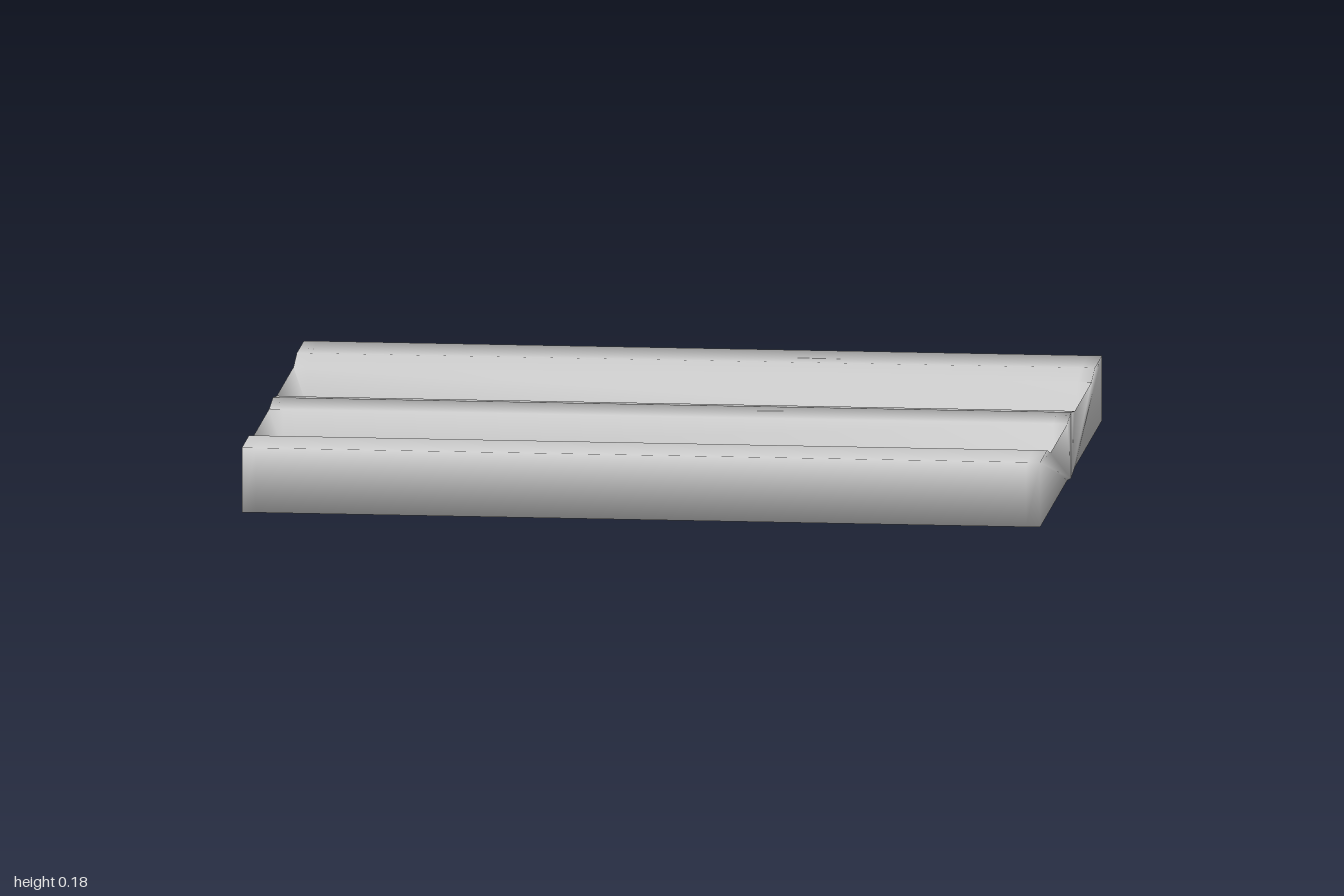
import * as THREE from 'three';

const RIM = 0.155;
const FLOOR = 0.055;

// Cross-section of one half as (z, y), counter-clockwise from the bottom of the centre seam.
// The trough floor rises to the rim at both ends.
const profile = (floorY) => [
  [0, 0], [0.09, 0.012], [0.745, 0.012], [0.745, 0.176], [0.575, 0.176], [0.495, RIM],
  [0.49, floorY], [0.095, floorY], [0.09, RIM], [0, 0.168],
].map(([z, y]) => new THREE.Vector2(z, y));

// Profile points that outline the end caps, leaving out the two of the trough floor
const CAP = [0, 1, 2, 3, 4, 5, 8, 9];

// Stations along the length; the close pairs form the sloping trough ends
const STATIONS = [[-1, RIM], [-0.965, FLOOR], [0.965, FLOOR], [1, RIM]];

// Sweeps the profile along x; every vertex takes the mean normal of the panels around it
function halfSlab(side) {
  const points = [];
  const index = [];
  for (const [x, floorY] of STATIONS) {
    for (const p of profile(floorY)) points.push(new THREE.Vector3(x, p.y, p.x * side));
  }
  const normals = points.map(() => new THREE.Vector3());
  const triangle = (a, b, c) => (side > 0 ? index.push(a, b, c) : index.push(a, c, b));

  const n = points.length / STATIONS.length;
  for (let k = 0; k < STATIONS.length - 1; k++) {
    for (let i = 0; i < n; i++) {
      const j = (i + 1) % n;
      const a = k * n + i, b = k * n + j, c = a + n, d = b + n;
      triangle(a, c, d);
      triangle(a, d, b);
      const across = points[b].clone().sub(points[c]);
      const along = points[d].clone().sub(points[a]);
      const normal = along.cross(across).normalize().multiplyScalar(side);
      for (const v of [a, b, c, d]) normals[v].add(normal);
    }
  }

  // End caps
  const last = (STATIONS.length - 1) * n;
  const outline = profile(RIM);
  for (const t of THREE.ShapeUtils.triangulateShape(CAP.map((i) => outline[i]), [])) {
    const [a, b, c] = t.map((i) => CAP[i]);
    triangle(a, b, c);
    triangle(last + a, last + c, last + b);
  }
  for (let i = 0; i < n; i++) {
    normals[i].x -= 1;
    normals[last + i].x += 1;
  }

  const geometry = new THREE.BufferGeometry().setFromPoints(points);
  const smoothNormals = normals.flatMap((v) => v.normalize().toArray());
  geometry.setAttribute('normal', new THREE.Float32BufferAttribute(smoothNormals, 3));
  geometry.setIndex(index);
  return geometry;
}

export function createModel() {
  const model = new THREE.Group();
  model.name = 'troughedSlab';
  const material = new THREE.MeshStandardMaterial({ color: 0xcccccc });

  // Two mirrored halves meeting at the raised centre seam
  for (const [name, side] of [['frontHalf', 1], ['backHalf', -1]]) {
    const mesh = new THREE.Mesh(halfSlab(side), material);
    mesh.name = name;
    model.add(mesh);
  }
  return model;
}
